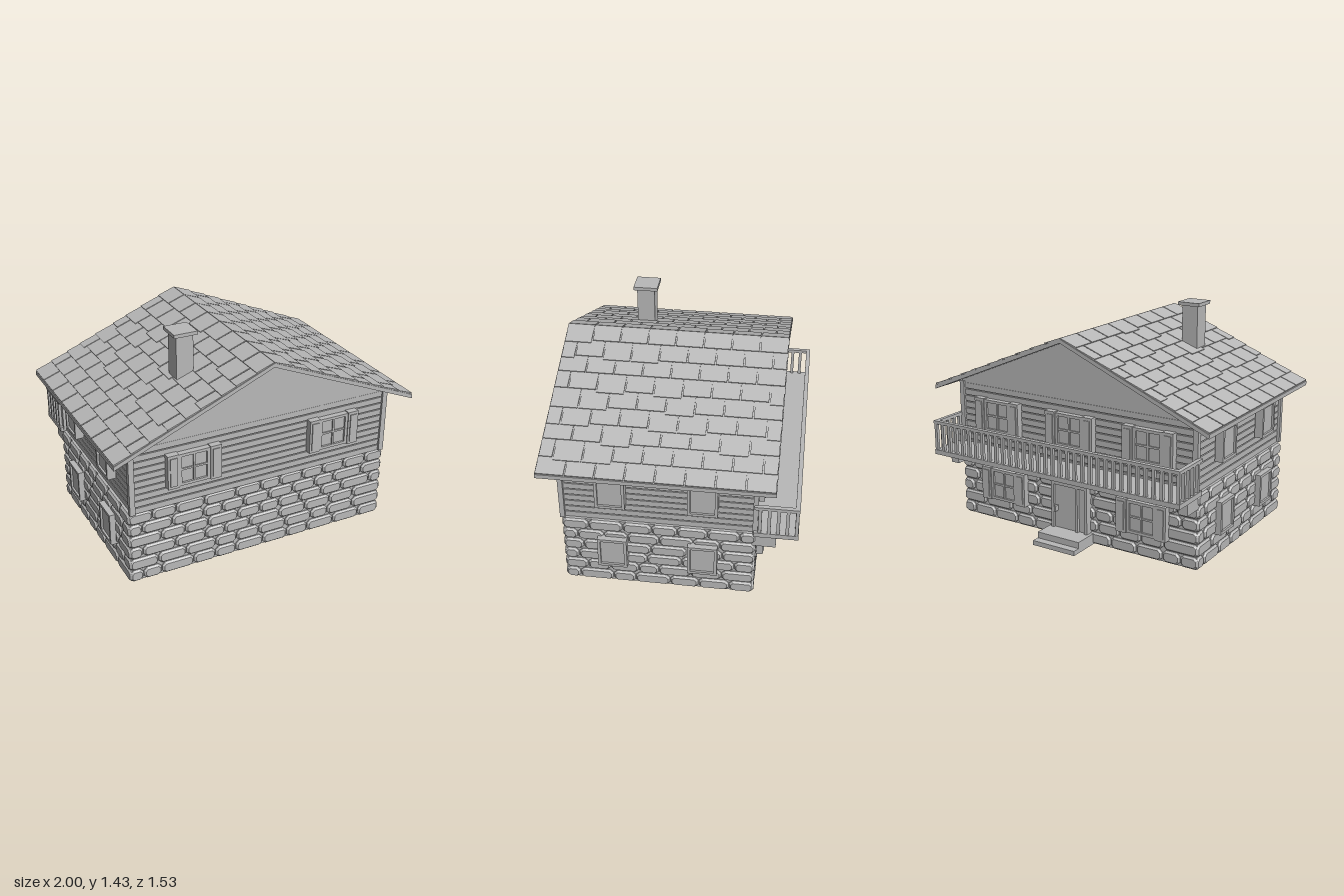
import * as THREE from 'three';
import { mergeGeometries } from 'three/addons/utils/BufferGeometryUtils.js';

const grey = new THREE.MeshStandardMaterial({ color: 0xb8b8b8 });
grey.name = 'plaster grey';

let seed = 7;
const rand = () => (seed = (seed * 16807) % 2147483647) / 2147483647;

function add(parent, name, geometry) {
  const mesh = new THREE.Mesh(geometry, grey);
  mesh.name = name;
  parent.add(mesh);
  return mesh;
}

// Box given by its limits on each axis
function span(x0, x1, y0, y1, z0, z1) {
  return new THREE.BoxGeometry(x1 - x0, y1 - y0, z1 - z0)
    .translate((x0 + x1) / 2, (y0 + y1) / 2, (z0 + z1) / 2);
}

function extrude(points, z0, z1) {
  const shape = new THREE.Shape(points.map(p => new THREE.Vector2(...p)));
  return new THREE.ExtrudeGeometry(shape, { depth: z1 - z0, bevelEnabled: false }).translate(0, 0, z0);
}

// Chamfered stone block whose outer face lies at z = dist
function stone(x, y, w, h, dist) {
  const b = 0.011, c = 0.014, a = w / 2 - b, d = h / 2 - b;
  const shape = new THREE.Shape([[-a + c, -d], [a - c, -d], [a, -d + c], [a, d - c],
    [a - c, d], [-a + c, d], [-a, d - c], [-a, -d + c]].map(p => new THREE.Vector2(...p)));
  return new THREE.ExtrudeGeometry(shape, {
    depth: 0.012, bevelThickness: 0.012, bevelSize: b, bevelSegments: 1,
  }).translate(x, y, dist - 0.024);
}

// Six courses of stones of uneven length
function stoneWall(wall, x0, x1, dist) {
  const parts = [], h = 0.08;
  for (let row = 0; row < 6; row++) {
    let x = x0;
    let first = row % 2 === 0;
    while (x < x1 - 0.001) {
      let w = first ? 0.09 : 0.12 + rand() * 0.1;
      first = false;
      if (x1 - x - w < 0.08) w = x1 - x > 0.24 ? (x1 - x) / 2 : x1 - x;
      parts.push(stone(x + w / 2, (row + 0.5) * h, w - 0.005, h - 0.004, dist));
      x += w;
    }
  }
  add(wall, 'stones', mergeGeometries(parts));
}

// Window frame, pane, and optional glazing bars with a pair of shutters
function addWindow(wall, x, y, dist, shuttered) {
  const win = new THREE.Group();
  win.name = 'window';
  win.position.set(x, y, dist);
  wall.add(win);
  const w = shuttered ? 0.1 : 0.09, h = 0.105, t = 0.018;
  const shape = new THREE.Shape([[-w, -h], [w, -h], [w, h], [-w, h]].map(p => new THREE.Vector2(...p)));
  shape.holes.push(new THREE.Path([[-w + t, -h + t], [-w + t, h - t], [w - t, h - t], [w - t, -h + t]]
    .map(p => new THREE.Vector2(...p))));
  add(win, 'windowFrame', new THREE.ExtrudeGeometry(shape, { depth: 0.055, bevelEnabled: false }).translate(0, 0, -0.02));
  add(win, 'windowPane', span(-w + t, w - t, -h + t, h - t, -0.02, 0.022));
  if (!shuttered) return;
  add(win, 'verticalBar', span(-0.006, 0.006, -h + t, h - t, 0, 0.032));
  add(win, 'crossBar', span(-w + t, w - t, -0.006, 0.006, 0, 0.03));
  for (const s of [-1, 1]) {
    const shutter = add(win, 'shutter', span(-0.036, 0.036, -0.11, 0.11, -0.01, 0.04));
    shutter.position.x = s * 0.137;
    const panel = add(win, 'shutterPanel', span(-0.022, 0.022, -0.092, 0.092, 0.03, 0.046));
    panel.position.x = s * 0.137;
  }
}

export function createModel() {
  const house = new THREE.Group();
  house.name = 'house';

  // Solid cores, siding boards, corner posts and gable
  add(house, 'groundFloorCore', span(-0.873, 0.873, 0, 0.478, -0.498, 0.638));
  add(house, 'upperFloorCore', span(-0.852, 0.852, 0.47, 0.92, -0.5, 0.645));
  const boards = 10, step = 0.43 / boards;
  for (let i = 0; i < boards; i++) {
    const y = 0.48 + i * step;
    add(house, 'sidingBoard', span(-0.862, 0.862, y, y + step - 0.007, -0.51, 0.655));
  }
  for (const x of [-0.863, 0.863]) for (const z of [-0.508, 0.653])
    add(house, 'cornerPost', span(x - 0.017, x + 0.017, 0.48, 0.915, z - 0.015, z + 0.015));
  add(house, 'gable', extrude([[-0.865, 0.905], [0.865, 0.905], [0.865, 0.922], [0, 1.285], [-0.865, 0.922]], -0.512, 0.657));

  // Four walls, each built facing its own local +z
  const walls = {};
  for (const [name, turn, x0, x1, dist] of [
    ['frontWall', 0, -0.89, 0.89, 0.657], ['backWall', Math.PI, -0.89, 0.89, 0.515],
    ['leftWall', Math.PI / 2, -0.657, 0.515, 0.89], ['rightWall', -Math.PI / 2, -0.515, 0.657, 0.89]]) {
    const wall = walls[name] = new THREE.Group();
    wall.name = name;
    wall.rotation.y = turn;
    house.add(wall);
    stoneWall(wall, x0, x1, dist);
  }
  const high = 0.72, low = 0.26;
  for (const x of [-0.475, 0.475]) addWindow(walls.frontWall, x, high, 0.657, true);
  for (const x of [-0.56, 0, 0.56]) addWindow(walls.backWall, x, high, 0.512, true);
  for (const x of [-0.52, 0.52]) addWindow(walls.backWall, x, low, 0.515, true);
  for (const y of [high, low]) for (const z of [0.35, -0.2]) {
    addWindow(walls.leftWall, -z, y, 0.89, false);
    addWindow(walls.rightWall, z, y, 0.89, false);
  }

  // Entrance with a narrow side panel, handle and steps
  const entrance = new THREE.Group();
  entrance.name = 'entrance';
  walls.backWall.add(entrance);
  for (const [x0, x1] of [[-0.135, -0.115], [0.05, 0.065], [0.115, 0.135]])
    add(entrance, 'doorJamb', span(x0, x1, 0.06, 0.375, 0.49, 0.555));
  add(entrance, 'doorLintel', span(-0.135, 0.135, 0.36, 0.38, 0.49, 0.555));
  add(entrance, 'doorLeaf', span(-0.115, 0.05, 0.06, 0.36, 0.49, 0.54));
  add(entrance, 'sidePanel', span(0.065, 0.115, 0.06, 0.36, 0.49, 0.535));
  add(entrance, 'doorHandle', span(-0.103, -0.088, 0.185, 0.22, 0.53, 0.572));
  add(entrance, 'lowerStep', span(-0.155, 0.155, 0, 0.03, 0.49, 0.725));
  add(entrance, 'upperStep', span(-0.155, 0.155, 0.03, 0.07, 0.49, 0.675));

  // Balcony with brackets, rails and balusters
  const balcony = new THREE.Group();
  balcony.name = 'balcony';
  house.add(balcony);
  add(balcony, 'balconyFloor', span(-0.9, 0.9, 0.475, 0.505, -0.765, -0.5));
  add(balcony, 'backRail', span(-0.9, 0.9, 0.68, 0.7, -0.765, -0.738));
  for (const s of [-1, 1]) {
    const x = s * 0.887;
    add(balcony, 'sideRail', span(x - 0.013, x + 0.013, 0.68, 0.7, -0.74, -0.5));
    add(balcony, 'bracket', span(s * 0.85 - 0.03, s * 0.85 + 0.03, 0.387, 0.475, -0.635, -0.49));
    for (let i = 0; i < 4; i++) {
      const z = -0.535 - i * 0.054;
      add(balcony, 'baluster', span(x - 0.01, x + 0.01, 0.505, 0.68, z - 0.01, z + 0.01));
    }
  }
  for (let i = 0; i <= 33; i++) {
    const x = -0.887 + i * 1.774 / 33;
    add(balcony, 'baluster', span(x - 0.01, x + 0.01, 0.505, 0.68, -0.762, -0.742));
  }

  // Roof slab and overlapping shingles
  add(house, 'roofSlab', extrude([[-1, 0.865], [0, 1.285], [1, 0.865], [1, 0.891], [0, 1.311], [-1, 0.891]], -0.625, 0.762));
  const pitch = Math.atan(0.42), length = 1 / Math.cos(pitch), rows = 9, p = length / rows, n = 8;
  const zMin = -0.625, zMax = 0.762, tile = (zMax - zMin) / n;
  for (const s of [-1, 1]) {
    const parts = [];
    for (let row = 0; row < rows; row++) {
      const shift = row % 2 ? tile / 2 : 0;
      for (let i = 0; i <= n; i++) {
        const jut = row < rows - 1 ? (rand() < 0.3 ? 0.02 : 0) : -0.004;
        const z0 = Math.max(zMin, zMin + i * tile - shift), z1 = Math.min(zMax, zMin + (i + 1) * tile - shift);
        if (z1 - z0 < 0.02) continue;
        const g = new THREE.BoxGeometry(p + jut, 0.008, z1 - z0 - 0.008);
        g.rotateZ(s * 0.045);
        parts.push(g.translate(s * (row * p + (p + jut) / 2), 0.0035, (z0 + z1) / 2));
      }
    }
    const shingles = add(house, 'shingles', mergeGeometries(parts));
    shingles.position.y = 1.311;
    shingles.rotation.z = -s * pitch;
  }

  // Chimney
  add(house, 'chimney', span(-0.44, -0.33, 1.05, 1.41, 0.267, 0.38));
  add(house, 'chimneyCap', span(-0.46, -0.31, 1.41, 1.432, 0.245, 0.4));

  return house;
}
